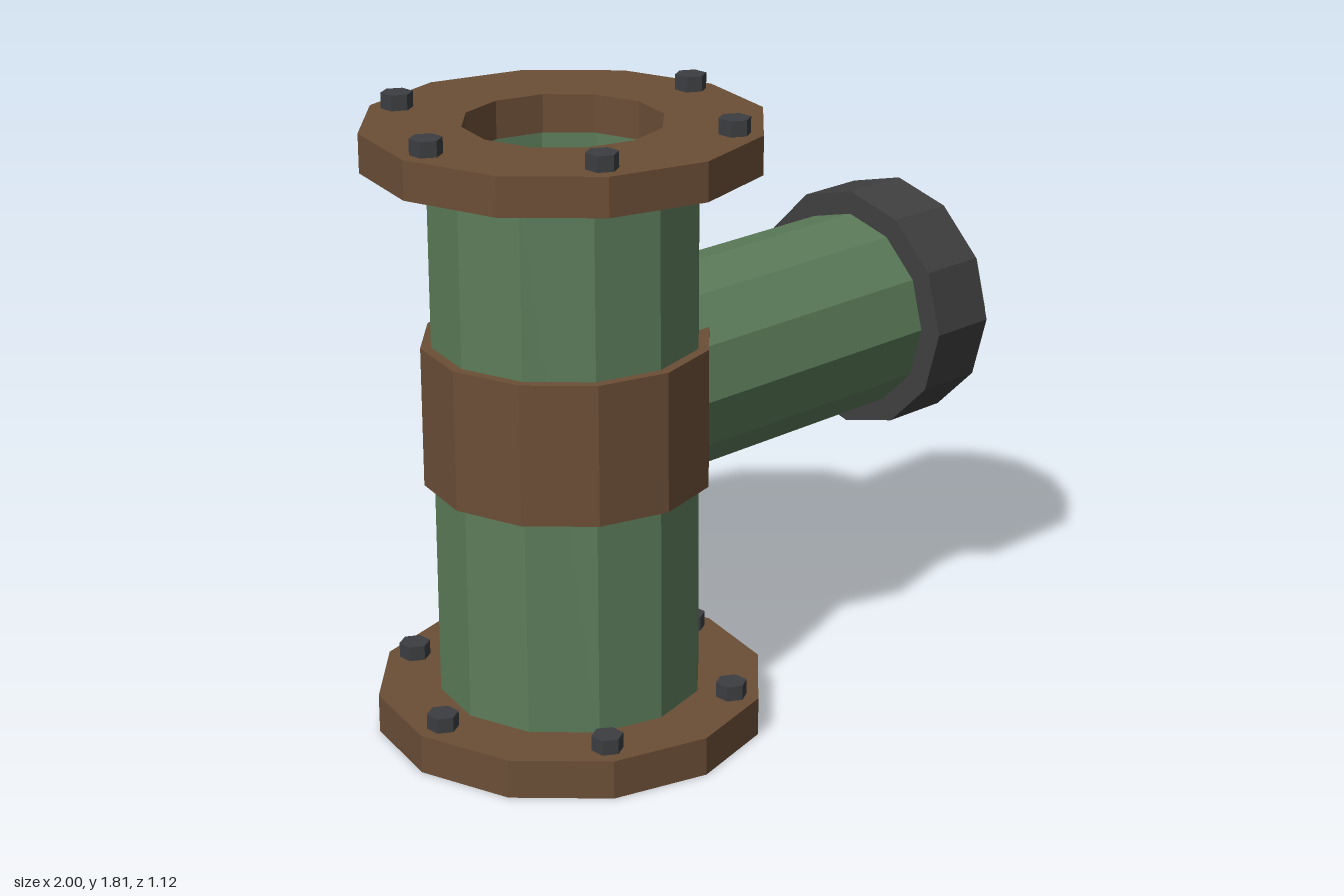
import * as THREE from 'three';

const SIDES = 12;
const AXIS_X = -0.44; // centre line of the upright pipe
const BRANCH_Y = 0.963; // centre line of the side branch

function material(name, color) {
  const m = new THREE.MeshStandardMaterial({ color, flatShading: true });
  m.name = name;
  return m;
}

// Hollow twelve-sided ring with flat ends, running from y0 to y1
function ring(name, mat, outer, inner, y0, y1) {
  const profile = [[outer, y0], [outer, y1], [inner, y1], [inner, y0], [outer, y0]]
    .map(([r, y]) => new THREE.Vector2(r, y));
  const mesh = new THREE.Mesh(new THREE.LatheGeometry(profile, SIDES), mat);
  mesh.name = name;
  return mesh;
}

export function createModel() {
  const green = material('greenPaint', 0x5c7c5a);
  const rust = material('rustBrown', 0x6b4e36);
  const iron = material('darkIron', 0x404040);
  const steel = material('boltSteel', 0x3c3e41);

  const model = new THREE.Group();
  model.name = 'pipeJunction';

  // Upright pipe with its middle band
  const upright = new THREE.Group();
  upright.name = 'uprightPipe';
  upright.position.x = AXIS_X;
  upright.add(
    ring('mainPipe', green, 0.38, 0.3, 0.1, 1.67),
    ring('middleBand', rust, 0.41, 0.36, 0.745, 1.15),
    ring('bottomFlange', rust, 0.56, 0.28, 0, 0.113),
    ring('topFlange', rust, 0.56, 0.28, 1.66, 1.77),
  );

  // Hexagonal bolts; one is missing from the top flange
  const boltGeometry = new THREE.CylinderGeometry(0.045, 0.045, 0.06, 6);
  const addBolts = (name, surfaceY, missing) => {
    for (let i = 0; i < 6; i++) {
      if (i === missing) continue;
      const a = (i * Math.PI) / 3;
      const bolt = new THREE.Mesh(boltGeometry, steel);
      bolt.name = name;
      bolt.position.set(0.48 * Math.cos(a), surfaceY + 0.014, 0.48 * Math.sin(a));
      upright.add(bolt);
    }
  };
  addBolts('bottomBolt', 0.113, -1);
  addBolts('topBolt', 1.77, 5);
  model.add(upright);

  // Side branch, turned so its length runs along +x
  const branch = new THREE.Group();
  branch.name = 'sideBranch';
  branch.rotation.z = -Math.PI / 2;
  branch.position.y = BRANCH_Y;
  branch.add(
    ring('branchPipe', green, 0.297, 0.232, -0.2, 1),
    ring('branchCollar', iron, 0.367, 0.28, 0.71, 0.925),
  );
  model.add(branch);

  return model;
}
